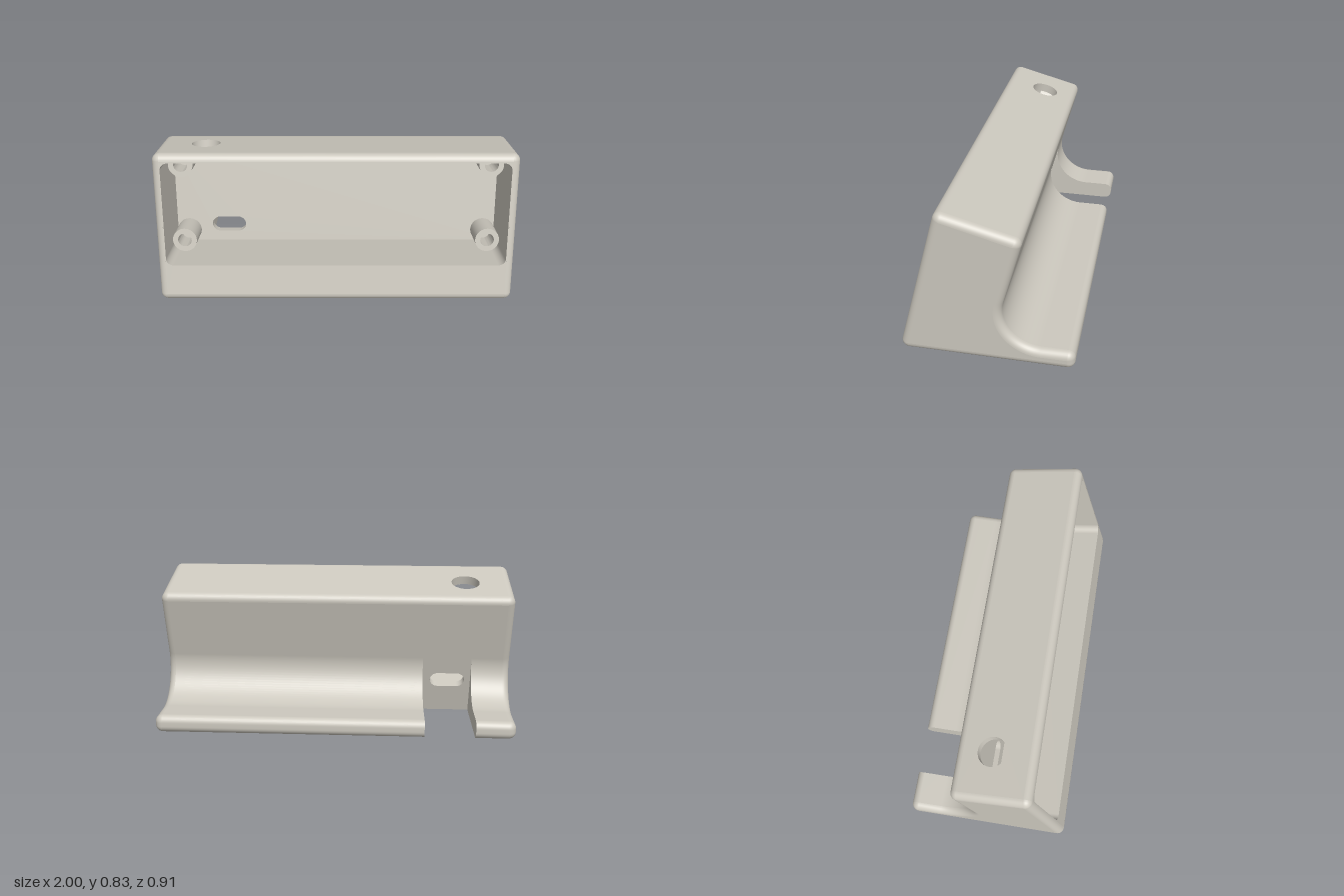
import * as THREE from 'three';
import { toCreasedNormals } from 'three/addons/utils/BufferGeometryUtils.js';

const TILT = Math.PI / 12, C = Math.cos(TILT), S = Math.sin(TILT);
const R = 0.04;                                  // edge rounding
const FRONT = 0.451, BACK = 0.0072, TOP = 0.753; // tilted planes
const FLOOR = 0.0572, P_TOP = 0.703, P_BOT = 0.107, P_X = 0.955; // pocket
const X = 0.96, N0 = -0.78, N1 = -0.5;           // straight part, cable notch
const rad = (d) => d * Math.PI / 180;

// tilted (depth, height) to [z, y]
const tilted = (w, u) => [w * C - u * S, w * S + u * C];

// arc of profile points carrying outward normals
function arc([cz, cy], r, a0, a1, n, sign = 1) {
  return Array.from({ length: n + 1 }, (_, i) => {
    const a = rad(a0 + (a1 - a0) * i / n), c = Math.cos(a), s = Math.sin(a);
    return { z: cz + r * c, y: cy + r * s, nz: sign * c, ny: sign * s };
  });
}

// surface through rings of [x, y, z] points
function loft(rings, closed = false) {
  const n = rings[0].length, index = [];
  for (let i = 0; i < rings.length - 1; i++) {
    for (let j = 0; j < (closed ? n : n - 1); j++) {
      const a = i * n + j, b = i * n + (j + 1) % n, c = a + n, d = b + n;
      index.push(a, b, c, b, d, c);
    }
  }
  const g = new THREE.BufferGeometry();
  g.setAttribute('position', new THREE.Float32BufferAttribute(rings.flat(2), 3));
  g.setIndex(index);
  g.computeVertexNormals();
  return g;
}

const strip = (pts, x0, x1) => loft([x0, x1].map((x) => pts.map((p) => [x, p.y, p.z])));

// flat cross-section at x
function section(pts, x) {
  const g = new THREE.ShapeGeometry(new THREE.Shape(pts.map((p) => new THREE.Vector2(p.z, p.y))));
  g.rotateY(-Math.PI / 2);
  if (x > 0) g.scale(-1, 1, 1).rotateY(0);
  return g.translate(x, 0, 0);
}

function polygon(points) {
  return new THREE.Shape(points.map(([x, y]) => new THREE.Vector2(x, y)));
}
const rect = (x0, y0, x1, y1) => polygon([[x0, y0], [x1, y0], [x1, y1], [x0, y1]]);

function circle(x, y, r) {
  return new THREE.Path().absarc(x, y, r, 0, Math.PI * 2, false);
}

// rounded rectangle path, starting and ending at the top edge
function rounded(x0, y0, x1, y1, r) {
  const p = new THREE.Path();
  p.absarc(x0 + r, y1 - r, r, rad(90), rad(180), false);
  p.absarc(x0 + r, y0 + r, r, rad(180), rad(270), false);
  p.absarc(x1 - r, y0 + r, r, rad(270), rad(360), false);
  p.absarc(x1 - r, y1 - r, r, 0, rad(90), false);
  return p;
}

export function createModel() {
  const shell = new THREE.MeshStandardMaterial({ color: 0xccc8be, side: THREE.DoubleSide });
  shell.name = 'warm grey plastic';
  const model = new THREE.Group();
  model.name = 'tiltedStand';
  const housing = new THREE.Group();
  housing.name = 'tiltedHousing';
  housing.rotation.x = -TILT;
  model.add(housing);

  const add = (name, geometry, parent = model) => {
    const m = new THREE.Mesh(geometry, shell);
    m.name = name;
    parent.add(m);
    return m;
  };
  const plate = (shape, holes = []) => {
    shape.holes.push(...holes);
    return new THREE.ShapeGeometry(shape, 20);
  };

  // side profile, counter-clockwise from the front bottom edge
  const frontBottom = arc([0.415, 0.04], R, -90, 15, 8);
  const frontTop = arc(tilted(FRONT - R, TOP - R), R, 15, 105, 8);
  const backTop = arc(tilted(BACK + R, TOP - R), R, 105, 195, 8);
  const cradle = arc([-0.28, 0.3], 0.2, 15, -90, 24, -1);
  const footEnd = [...arc([-0.415, 0.06], R, 90, 180, 8), ...arc([-0.415, 0.04], R, 180, 270, 8)];
  const profile = [...frontBottom, ...frontTop, ...backTop, ...cradle, ...footEnd];

  // rounded ends
  for (const side of [1, -1]) {
    const inset = (a) => profile.map((p) => {
      const d = R * (1 - Math.cos(a));
      return { z: p.z - p.nz * d, y: p.y - p.ny * d };
    });
    const rings = Array.from({ length: 9 }, (_, i) => {
      const a = rad(90 * i / 8);
      return inset(a).map((p) => [side * (X + R * Math.sin(a)), p.y, p.z]);
    });
    add('roundedEndEdge', loft(rings, true));
    add('endFace', section(inset(rad(89.9)), side));
  }

  // long rounded edges and cradle back
  add('frontBottomEdge', strip(frontBottom, -X, X));
  add('frontTopEdge', strip(frontTop, -X, X));
  add('backTopEdge', strip(backTop, -X, X));
  const back = [backTop[8], ...cradle, ...footEnd];
  add('cradleShort', strip(back, -X, N0));
  add('cradleLong', strip(back, N1, X));

  // base with cable notch and four shallow foot recesses
  const [notchZ] = tilted(BACK, -BACK * S / C);
  const base = polygon([[-X, -0.415], [N0, -0.415], [N0, notchZ], [N1, notchZ],
    [N1, -0.415], [X, -0.415], [X, 0.415], [-X, 0.415]]);
  const feet = [[-0.89, -0.33], [0.89, -0.33], [-0.89, 0.33], [0.89, 0.33]];
  add('base', plate(base, feet.map(([x, z]) => circle(x, z, 0.065))).rotateX(Math.PI / 2));
  for (const [x, z] of feet) {
    const ring = circle(x, z, 0.065).getPoints(20);
    add('footRecessWall', loft([0, 0.02].map((y) => ring.map((p) => [p.x, y, p.y]))));
    add('footRecess', new THREE.CircleGeometry(0.065, 40).rotateX(Math.PI / 2).translate(x, 0.02, z));
  }

  // notch side walls
  const cut = [{ z: notchZ, y: 0 }, ...cradle, ...footEnd];
  for (const x of [N0, N1]) add('notchSide', section(cut, x));

  // tilted front frame with pocket
  const mouth = rounded(-P_X, P_BOT, P_X, P_TOP, R);
  const uBottom = 0.04 * C - 0.415 * S;
  add('frontFrame', plate(rect(-X, uBottom, X, TOP - R), [mouth]).translate(0, 0, FRONT), housing);
  add('pocketWalls', loft([FLOOR, FRONT].map((w) => mouth.getPoints(8).map((p) => [p.x, p.y, w]))), housing);

  // cable slot through the pocket floor
  const slot = () => rounded(-0.745, 0.1675, -0.545, 0.2575, 0.045);
  add('pocketFloor', plate(rect(-P_X, P_BOT, P_X, P_TOP), [slot()]).translate(0, 0, FLOOR), housing);
  add('slotWall', loft([BACK, FLOOR].map((w) => slot().getPoints(10).map((p) => [p.x, p.y, w])), true), housing);
  add('notchWall', plate(rect(N0, -BACK * S / C, N1, TOP - R), [slot()])
    .rotateY(Math.PI).scale(-1, 1, 1).translate(0, 0, BACK), housing);

  // top with round button hole; shape y runs toward the back
  const hole = () => circle(-0.735, -0.207, 0.08);
  add('top', plate(rect(-X, R - FRONT, X, -BACK - R), [hole()])
    .rotateX(-Math.PI / 2).translate(0, TOP, 0), housing);
  add('pocketCeiling', plate(rect(R - P_X, -FRONT, P_X - R, -FLOOR), [hole()])
    .rotateX(-Math.PI / 2).translate(0, P_TOP, 0), housing);
  add('buttonHoleWall', loft([P_TOP, TOP].map((y) => hole().getPoints(24).map((p) => [p.x, y, -p.y]))), housing);

  // screw posts in the pocket corners
  const post = [[0.07, 0], [0.07, 0.18], [0.04, 0.18], [0.04, 0.04], [0, 0.04]]
    .map(([x, y]) => new THREE.Vector2(x, y));
  for (const x of [-0.885, 0.885]) {
    for (const u of [P_BOT + 0.07, P_TOP - 0.07]) {
      const g = toCreasedNormals(new THREE.LatheGeometry(post, 36), 0.6);
      add('screwPost', g.rotateX(Math.PI / 2).translate(x, u, FLOOR), housing);
    }
  }
  return model;
}
